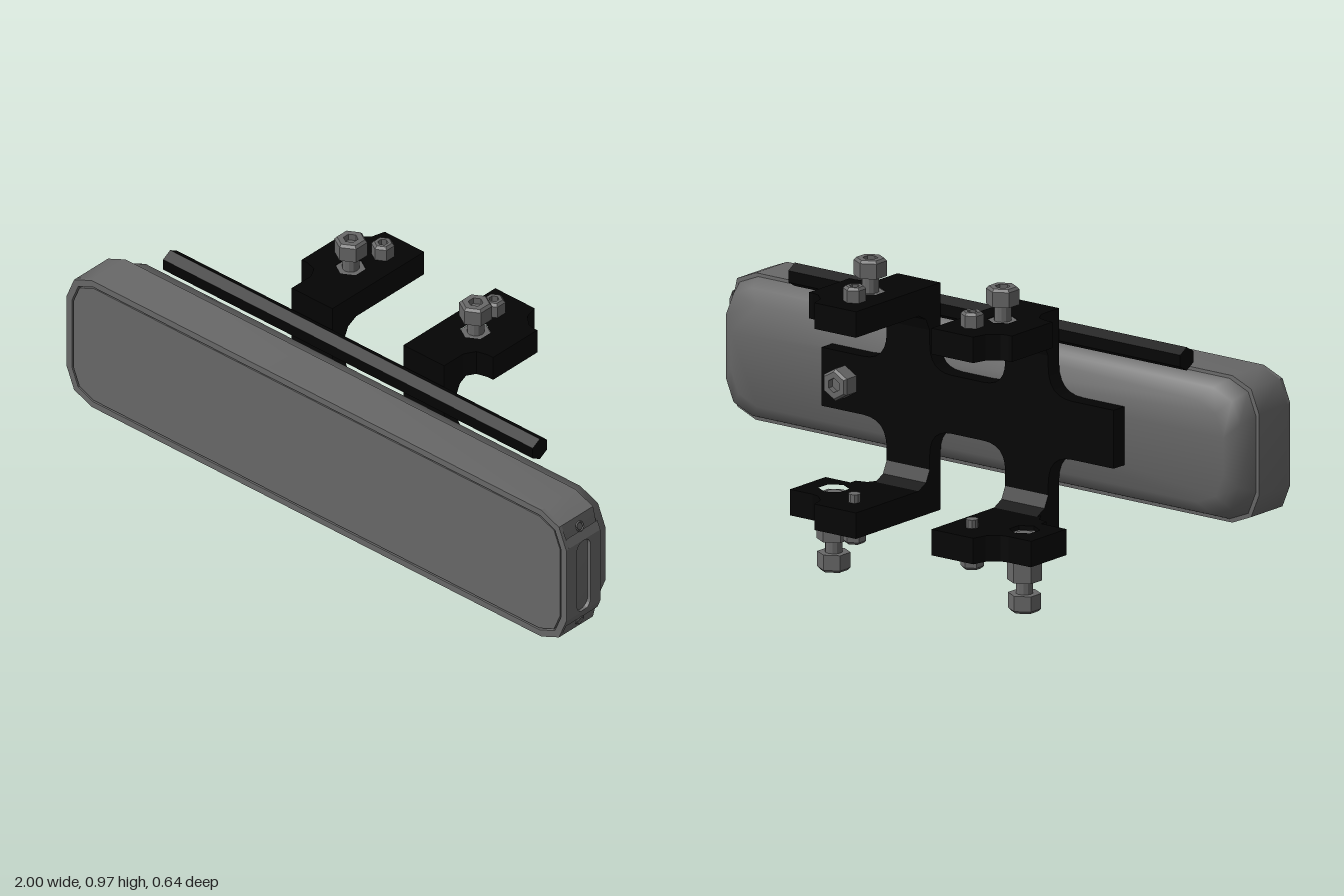
import * as THREE from 'three';
import { toCreasedNormals } from 'three/addons/utils/BufferGeometryUtils.js';

const grey = new THREE.MeshStandardMaterial({ color: 0x686868, flatShading: true });
const smoothGrey = new THREE.MeshStandardMaterial({ color: 0x686868 });
const black = new THREE.MeshStandardMaterial({ color: 0x040404, flatShading: true });
const V = (x, y) => new THREE.Vector2(x, y);
const CX = -0.0075; // mirror line of the bracket
const CY = 0.52;    // mid height of the housing

function add(parent, name, geometry, material, x = 0, y = 0, z = 0) {
  const mesh = new THREE.Mesh(geometry, material);
  mesh.name = name;
  mesh.position.set(x, y, z);
  parent.add(mesh);
  return mesh;
}

const extrude = (shape, depth) =>
  new THREE.ExtrudeGeometry(shape, { depth, bevelEnabled: false, curveSegments: 6 });

// Rectangle with two-facet corners, counter-clockwise, shrunk by an inset
function outline(inset, r = 0.1, maxX = 2) {
  const hw = 1 - inset, hh = 0.2265 - inset, pts = [];
  [[1, 1], [-1, 1], [-1, -1], [1, -1]].forEach(([sx, sy], q) => {
    for (let i = 0; i <= 2; i++) {
      const a = (q + i / 2) * Math.PI / 2;
      pts.push(V(Math.min(maxX, sx * (hw - r) + r * Math.cos(a)), sy * (hh - r) + r * Math.sin(a)));
    }
  });
  return pts;
}

// Skin through rings of equal count, ordered front to back
function loft(rings) {
  const n = rings[0].pts.length, pos = [], idx = [], last = (rings.length - 1) * n;
  rings.forEach(({ pts, z }) => pts.forEach(p => pos.push(p.x, p.y, z)));
  for (let i = 0; i < rings.length - 1; i++)
    for (let j = 0; j < n; j++) {
      const a = i * n + j, b = i * n + (j + 1) % n;
      idx.push(a, a + n, b + n, a, b + n, b);
    }
  for (let j = 1; j < n - 1; j++) {
    idx.push(0, j, j + 1);
    idx.push(last, last + j + 1, last + j);
  }
  const g = new THREE.BufferGeometry();
  g.setAttribute('position', new THREE.Float32BufferAttribute(pos, 3));
  g.setIndex(idx);
  return toCreasedNormals(g, 0.85);
}

// Chamfered hexagonal head with a socket in its top, standing on y = 0
function hexHead(r, h) {
  return new THREE.LatheGeometry([
    V(0, 0), V(r, 0), V(r, h - 0.008), V(r - 0.008, h),
    V(r * 0.45, h), V(r * 0.45, h - 0.02), V(0, h - 0.02)
  ], 6);
}

function housing() {
  const g = new THREE.Group();
  g.name = 'housing';
  g.position.y = CY;
  add(g, 'shell', loft([
    { z: 0.308, pts: outline(0, 0.1, 0.988) },
    { z: 0.17, pts: outline(0, 0.1, 0.988) },
    { z: 0.169, pts: outline(0.01) },
    { z: 0.115, pts: outline(0.03) },
    { z: 0.088, pts: outline(0.07) }
  ]), smoothGrey);

  // Front rim and the panel set into it
  const rim = new THREE.Shape(outline(0));
  rim.holes.push(new THREE.Path(outline(0.021, 0.085)));
  add(g, 'frontRim', extrude(rim, 0.012), grey, 0, 0, 0.308);
  add(g, 'frontPanel', extrude(new THREE.Shape(outline(0.026, 0.082)), 0.011), grey, 0, 0, 0.308);

  // End plate with a long slot; its outer ends slope into the corners
  const end = new THREE.Shape([V(-0.308, -0.1555), V(-0.17, -0.1555), V(-0.17, 0.1555), V(-0.308, 0.1555)]);
  const slot = new THREE.Path();
  slot.absarc(-0.243, 0.096, 0.03, 0, Math.PI, false);
  slot.absarc(-0.243, -0.096, 0.03, Math.PI, 2 * Math.PI, false);
  slot.closePath();
  end.holes.push(slot);
  const plate = extrude(end, 0.012), p = plate.attributes.position;
  for (let i = 0; i < p.count; i++)
    if (p.getZ(i) > 0.006 && Math.abs(p.getY(i)) > 0.15) p.setY(i, Math.sign(p.getY(i)) * 0.1275);
  plate.rotateY(Math.PI / 2);
  add(g, 'slottedEnd', plate, grey, 0.988, 0, 0);
  for (const s of [-1, 1]) {
    const ring = add(g, 'endScrew', new THREE.TorusGeometry(0.014, 0.003, 4, 12), grey, 0.983, s * 0.168, 0.242);
    ring.rotation.set(-s * 0.39, Math.PI / 2, 0, 'YXZ');
  }
  return g;
}

// Upright cross-shaped plate: two legs joined by a web with end tabs
function backPlate() {
  const half = new THREE.Path();
  half.moveTo(0.06, 0.43);
  half.quadraticCurveTo(0.1425, 0.43, 0.1425, 0.35);
  half.lineTo(0.1425, 0.17);
  half.lineTo(0.305, 0.17);
  half.lineTo(0.305, 0.34);
  half.quadraticCurveTo(0.305, 0.43, 0.395, 0.43);
  half.lineTo(0.552, 0.43);
  half.lineTo(0.552, 0.61);
  half.lineTo(0.395, 0.61);
  half.quadraticCurveTo(0.305, 0.61, 0.305, 0.7);
  half.lineTo(0.305, 0.87);
  half.lineTo(0.1425, 0.87);
  half.lineTo(0.1425, 0.69);
  half.quadraticCurveTo(0.1425, 0.61, 0.06, 0.61);
  const pts = half.getPoints(6);
  const mirrored = pts.map(q => V(-q.x, q.y)).reverse();
  return extrude(new THREE.Shape([...pts, ...mirrored]), 0.052);
}

// Flange seen from above, u outward and z backward, with a hexagonal nut pocket
function flange(s, outer, zFront, nutU, nutZ) {
  const outlinePts = [
    [0.1425, 0.033], [0.1425, -0.32], [0.3, -0.32], [0.312, -0.275], [0.345, -0.245], [0.37, -0.24],
    [outer, -0.24], [outer, zFront], [0.36, zFront], [0.36, -0.045], [0.325, -0.035], [0.305, 0], [0.305, 0.033]
  ];
  const shape = new THREE.Shape(outlinePts.map(([u, z]) => V(s * u, -z)));
  const hex = [];
  for (let i = 0; i < 6; i++) {
    const a = i * Math.PI / 3;
    hex.push(V(s * nutU + 0.046 * Math.sin(a), -nutZ + 0.046 * Math.cos(a)));
  }
  shape.holes.push(new THREE.Path(hex));
  return extrude(shape, 0.08).rotateX(-Math.PI / 2);
}

// One clamp jaw; d is +1 for the top jaw and -1 for the bottom one
function jaw(s, d) {
  const g = new THREE.Group();
  const top = d > 0;
  g.name = top ? 'topJaw' : 'bottomJaw';
  const face = top ? 0.87 : 0.17, inner = top ? 0.79 : 0.25;
  const big = top ? { u: 0.25, z: -0.115 } : { u: 0.36, z: -0.15 };
  add(g, 'flange', flange(s, top ? 0.383 : 0.455, top ? -0.045 : -0.07, big.u, big.z), black,
    CX, Math.min(face, inner), 0);

  // Gusset in the inside corner
  const gusset = extrude(new THREE.Shape([
    V(-0.033, inner), V(-0.033, inner - d * 0.055), V(-0.015, inner - d * 0.018), V(0.02, inner)
  ]), 0.1625).rotateY(Math.PI / 2);
  add(g, 'gusset', gusset, black, CX + (s > 0 ? 0.1425 : -0.305), 0, 0);

  // Clamping bolt with its captive nut
  const bx = CX + s * big.u, flip = top ? 0 : Math.PI;
  const part = (name, geo, x, y, z) => { add(g, name, geo, grey, x, y, z).rotation.x = flip; };
  const headY = top ? 0.918 : 0.055;
  part('clampHead', hexHead(0.05, 0.055), bx, headY, big.z);
  const shaftLen = Math.abs(headY - inner) - 0.01;
  part('clampShaft', new THREE.CylinderGeometry(0.026, 0.026, shaftLen, 12), bx, headY - d * shaftLen / 2, big.z);
  part('captiveNut', new THREE.CylinderGeometry(0.0455, 0.0455, 0.065, 6),
    bx, (face + inner) / 2 + d * 0.006, big.z);
  if (!top) part('lockNut', new THREE.CylinderGeometry(0.052, 0.052, 0.075, 6), bx, 0.1325, big.z);

  // Fixing screw through the flange
  const fx = CX + s * 0.222;
  part('fixingHead', hexHead(0.035, 0.046), fx, face, -0.226);
  part('fixingShank', new THREE.CylinderGeometry(0.019, 0.019, 0.106, 10), fx, face - d * 0.053, -0.226);
  return g;
}

export function createModel() {
  const model = new THREE.Group();
  model.name = 'clampedLightBar';
  model.add(housing());

  // Hexagonal rod above the housing
  const rod = new THREE.CylinderGeometry(0.036, 0.036, 1.48, 6).rotateY(Math.PI / 2).rotateZ(Math.PI / 2);
  add(model, 'hexRod', rod, black, -0.023, 0.784, 0.125);

  // Bracket
  const bracket = new THREE.Group();
  bracket.name = 'bracket';
  model.add(bracket);
  add(bracket, 'backPlate', backPlate(), black, CX, 0, 0.033);
  for (const s of [-1, 1]) for (const d of [-1, 1]) bracket.add(jaw(s, d));
  add(bracket, 'tabBolt', hexHead(0.05, 0.055), grey, 0.455, 0.52, 0.034).rotation.x = -Math.PI / 2;
  return model;
}
